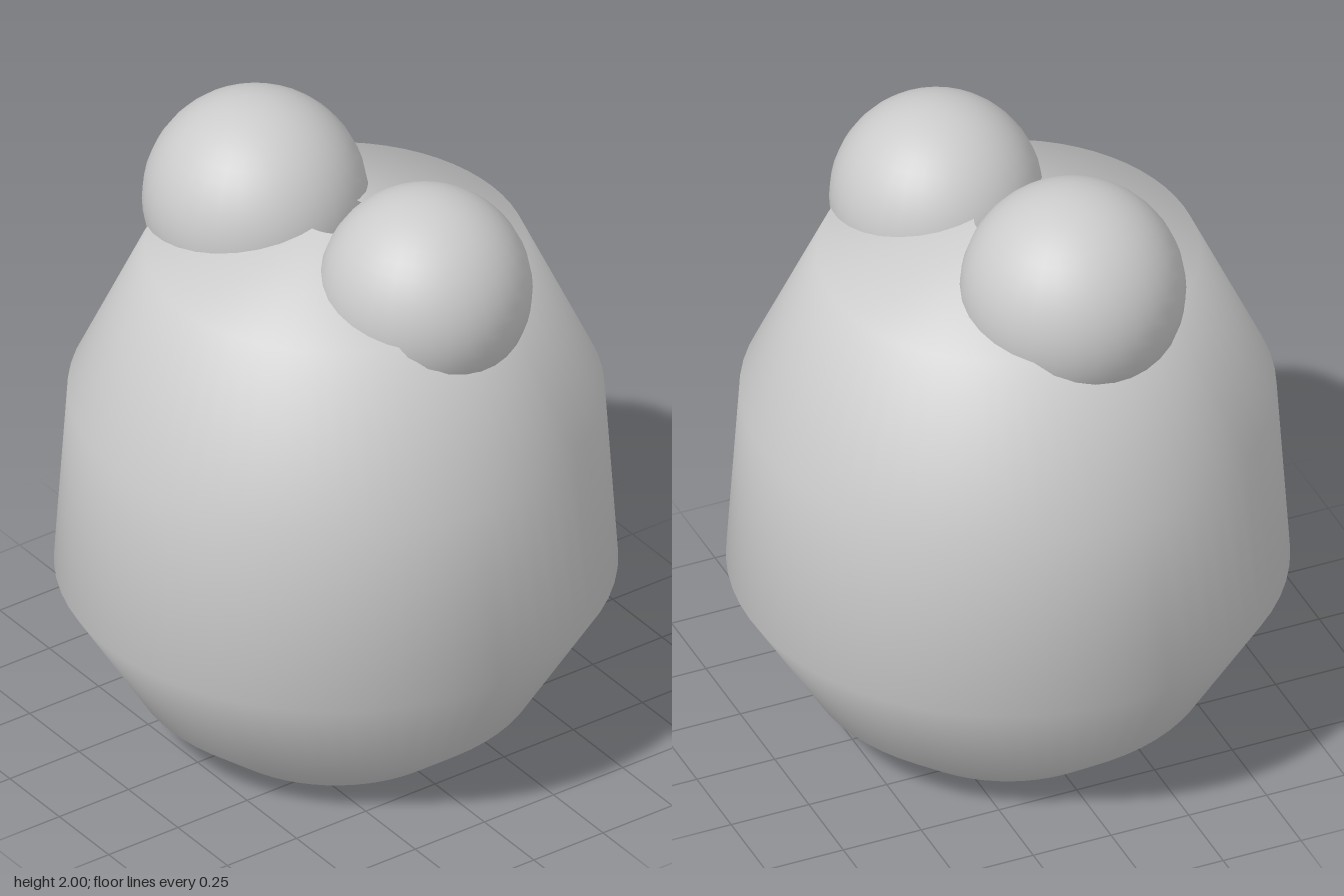
import * as THREE from 'three';

export function createModel() {
  const group = new THREE.Group();
  const material = new THREE.MeshStandardMaterial({ color: 0xcccccc });
  const add = (name, geometry, x = 0, y = 0, z = 0) => {
    const mesh = new THREE.Mesh(geometry, material);
    mesh.name = name;
    mesh.position.set(x, y, z);
    group.add(mesh);
    return mesh;
  };

  // Barrel-shaped body, open with a small round hole at the top
  const profile = [
    [0.415, 0], [0.6, 0.15], [0.83, 0.53], [0.79, 1.13], [0.565, 1.62], [0.1, 1.735],
  ].map(([r, y]) => new THREE.Vector2(r, y));
  add('body', new THREE.LatheGeometry(profile, 64));

  // Flat underside
  add('base', new THREE.CircleGeometry(0.415, 64).rotateX(Math.PI / 2));

  // Two bulging eyes, slightly uneven in size and placement
  add('rightEye', new THREE.SphereGeometry(0.334, 32, 24), -0.306, 1.666, 0.073);
  add('leftEye', new THREE.SphereGeometry(0.316, 32, 24), 0.34, 1.628, -0.08);

  return group;
}
